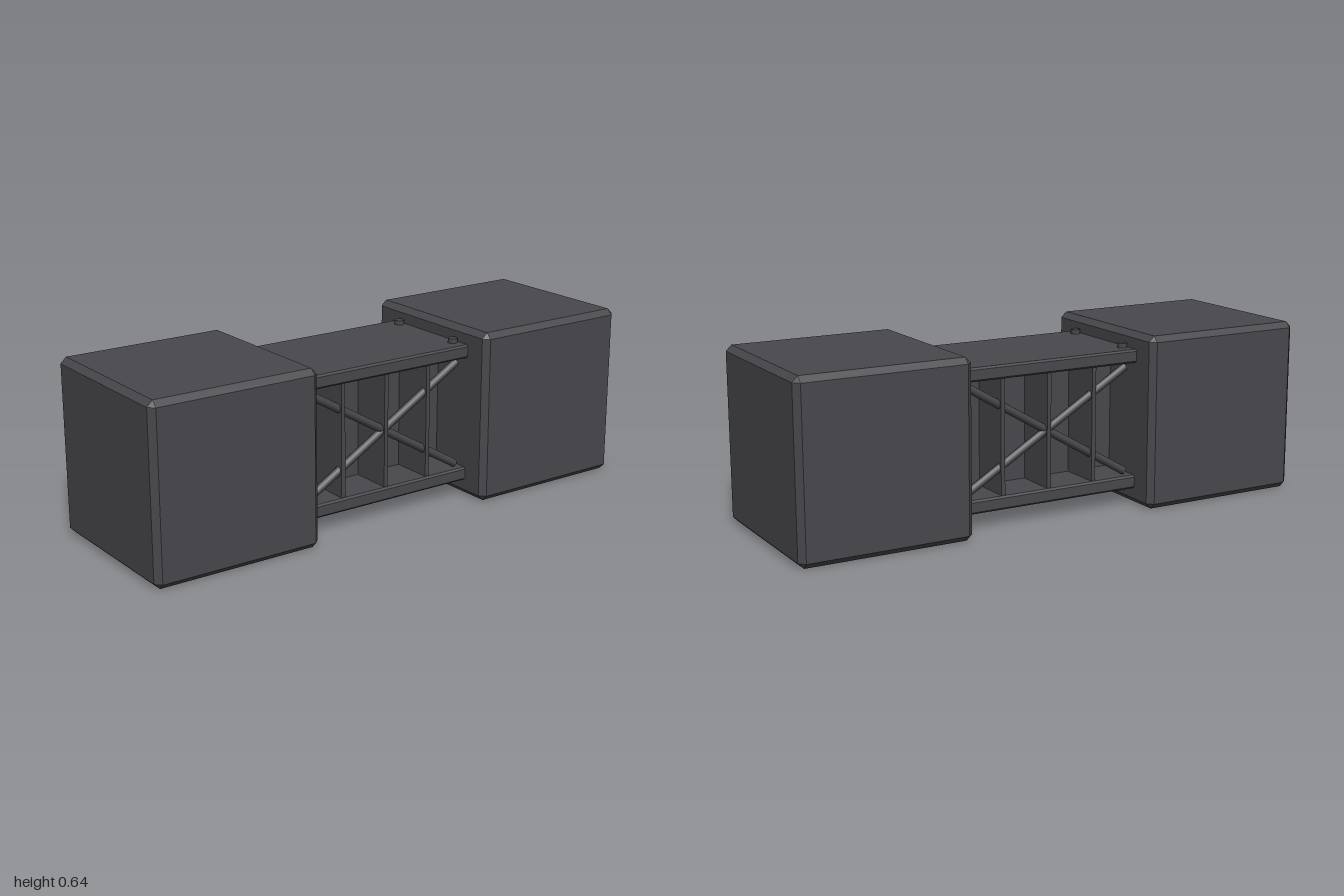
import * as THREE from 'three';
import { ConvexGeometry } from 'three/addons/geometries/ConvexGeometry.js';

const darkGrey = new THREE.MeshStandardMaterial({ color: 0x48474c });
darkGrey.name = 'darkGrey';

// Box with every edge cut at 45 degrees
function chamferedBox(w, h, d, c) {
  const points = [];
  for (const sx of [-1, 1]) for (const sy of [-1, 1]) for (const sz of [-1, 1]) {
    const x = w / 2, y = h / 2, z = d / 2;
    points.push(
      new THREE.Vector3(sx * x, sy * (y - c), sz * (z - c)),
      new THREE.Vector3(sx * (x - c), sy * y, sz * (z - c)),
      new THREE.Vector3(sx * (x - c), sy * (y - c), sz * z));
  }
  return new ConvexGeometry(points);
}

export function createModel() {
  const model = new THREE.Group();
  model.name = 'linkedBlocks';
  const add = (name, geometry, x, y, z) => {
    const mesh = new THREE.Mesh(geometry, darkGrey);
    mesh.name = name;
    mesh.position.set(x, y, z);
    model.add(mesh);
    return mesh;
  };
  const midY = 0.32;

  // End blocks
  const block = chamferedBox(0.64, 0.64, 0.64, 0.021);
  add('frontBlock', block, 0, midY, 0.68);
  add('backBlock', block, 0, midY, -0.68);

  // Plates joining the blocks, with bolts near their corners
  const plate = chamferedBox(0.44, 0.05, 0.76, 0.007);
  const bolt = new THREE.CylinderGeometry(0.018, 0.018, 0.03, 10);
  for (const s of [-1, 1]) {
    add(s > 0 ? 'topPlate' : 'bottomPlate', plate, 0, midY + s * 0.235, 0);
    for (const x of [-0.16, 0.16]) for (const z of [-0.338, 0.338]) {
      add('bolt', bolt, x, midY + s * 0.262, z);
    }
  }

  // Core wall and cross ribs between the plates
  add('coreWall', new THREE.BoxGeometry(0.1, 0.43, 0.73), 0, midY, 0);
  const rib = new THREE.BoxGeometry(0.42, 0.43, 0.016);
  for (const z of [-0.187, 0, 0.187]) add('rib', rib, 0, midY, z);

  // Crossed braces on each side
  const dz = 0.66, dy = 0.39;
  const brace = new THREE.CylinderGeometry(0.015, 0.015, Math.hypot(dz, dy), 8);
  for (const x of [-0.19, 0.19]) for (const s of [-1, 1]) {
    add('crossBrace', brace, x, midY, 0).rotation.x = s * Math.atan2(dz, dy);
  }
  return model;
}
